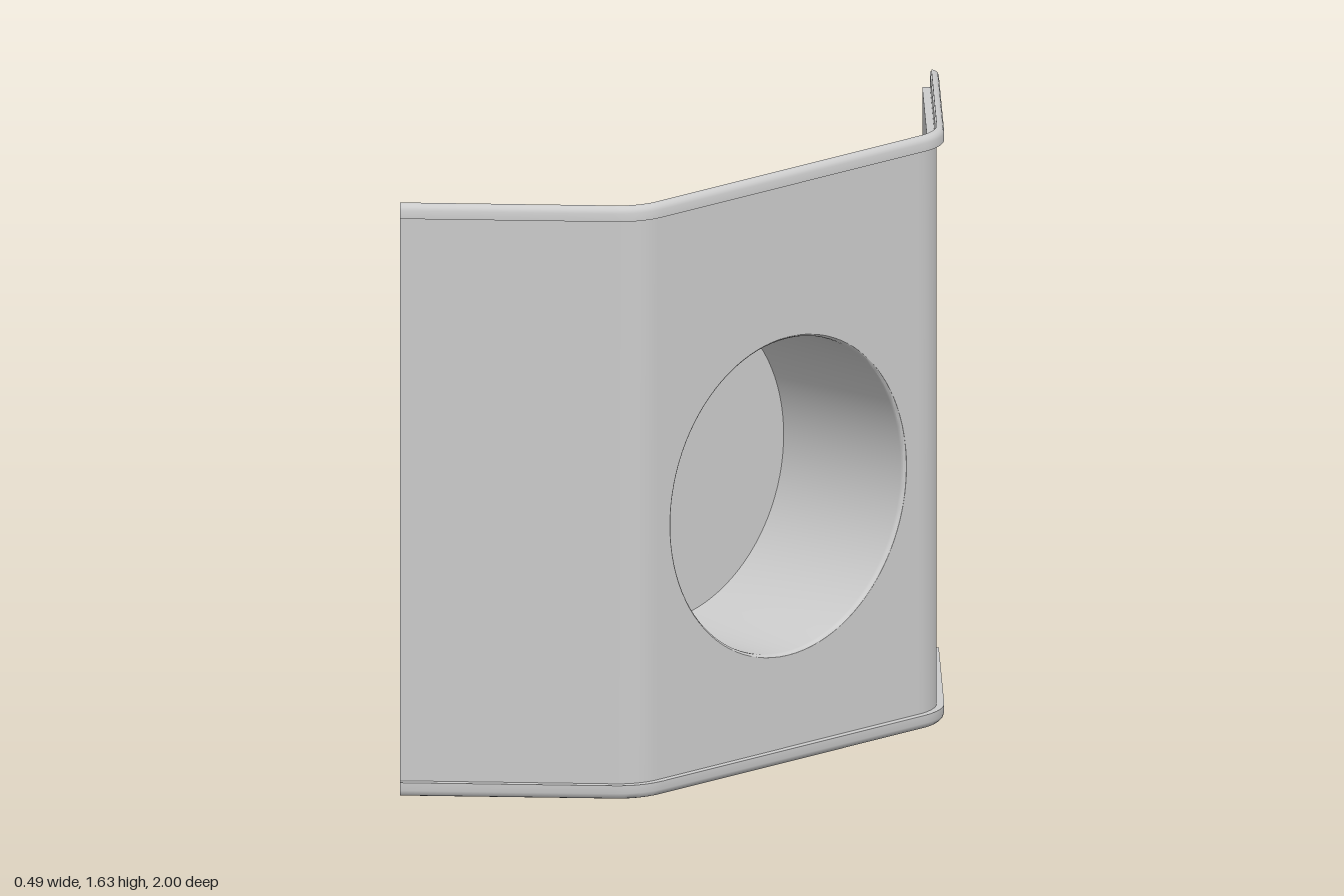
import * as THREE from 'three';
import { toCreasedNormals } from 'three/addons/utils/BufferGeometryUtils.js';

const HEIGHT = 1.635;
const FRONT = 0.24;        // outermost x of the rails
const BEND = 0.17;         // bend radius
const BEND_Z = 0.4875;     // where the flat centre ends
const ANGLE = THREE.MathUtils.degToRad(47.3);
const WING = 0.572;        // straight wing length
const HOLE_Y = 0.732;
const HOLE_R = 0.44;
const STEPS = 10;

// A station on one half of the outline: position plus outward direction
function station(angle, along, side) {
  const c = Math.cos(angle), s = Math.sin(angle);
  return {
    x: FRONT - BEND + BEND * c - along * s,
    z: side * (BEND_Z + BEND * s + along * c),
    nx: c, nz: side * s,
  };
}

function halfOutline(side) {
  const list = [];
  for (let i = 0; i <= STEPS; i++) list.push(station(ANGLE * i / STEPS, 0, side));
  list.push(station(ANGLE, WING, side));
  return list;
}

// Sweep a convex profile of [inward offset, y] along stations of rising z
function sweep(profile, stations) {
  const pos = [], idx = [], n = profile.length;
  for (const s of stations) {
    for (const [o, y] of profile) pos.push(s.x - s.nx * o, y, s.z - s.nz * o);
  }
  for (let i = 0; i < stations.length - 1; i++) {
    for (let j = 0; j < n; j++) {
      const k = (j + 1) % n;
      const a = i * n + j, d = i * n + k, b = a + n, e = d + n;
      idx.push(a, d, b, d, e, b);
    }
  }
  const last = (stations.length - 1) * n;
  for (let j = 1; j < n - 1; j++) {
    idx.push(0, j + 1, j, last, last + j, last + j + 1);
  }
  const geo = new THREE.BufferGeometry();
  geo.setAttribute('position', new THREE.Float32BufferAttribute(pos, 3));
  geo.setIndex(idx);
  return toCreasedNormals(geo, 0.6);
}

const slab = (o0, o1, y0, y1) => [[o0, y0], [o0, y1], [o1, y1], [o1, y0]];

// Flat centre sheet with the round opening, between two x positions
function holedSheet(halfWidth, y0, y1, x0, x1) {
  const shape = new THREE.Shape();
  shape.moveTo(-halfWidth, y0);
  shape.lineTo(halfWidth, y0);
  shape.lineTo(halfWidth, y1);
  shape.lineTo(-halfWidth, y1);
  shape.closePath();
  const hole = new THREE.Path();
  hole.absarc(0, HOLE_Y, HOLE_R - 0.001, 0, Math.PI * 2, true);
  shape.holes.push(hole);
  const geo = new THREE.ExtrudeGeometry(shape, { depth: x1 - x0, bevelEnabled: false, curveSegments: 48 });
  geo.rotateY(Math.PI / 2);
  geo.translate(x0, 0, 0);
  return toCreasedNormals(geo, 0.6);
}

export function createModel() {
  const group = new THREE.Group();
  const material = new THREE.MeshStandardMaterial({ color: 0xcccccc });
  const add = (name, geo) => {
    const mesh = new THREE.Mesh(geo, material);
    mesh.name = name;
    group.add(mesh);
  };

  const positive = halfOutline(1);
  const negative = halfOutline(-1).reverse();

  // Rounded edge rails along the top and bottom
  const rail = [[0, 0], [0, 0.022], [0.003, 0.031], [0.009, 0.037], [0.018, 0.04], [0.02, 0.04], [0.02, 0]];
  const topRail = rail.map(([o, y]) => [o, y + HEIGHT - 0.04]);
  const bottomRail = rail.map(([o, y]) => [o, 0.04 - y]).reverse();
  const outline = [...negative, ...positive];
  add('topRail', sweep(topRail, outline));
  add('bottomRail', sweep(bottomRail, outline));

  // Thin skin: bent wings and flat centre
  const skin = slab(0.02, 0.024, 0.005, HEIGHT - 0.005);
  add('leftWingSkin', sweep(skin, positive));
  add('rightWingSkin', sweep(skin, negative));
  add('centreSkin', holedSheet(BEND_Z, 0.005, HEIGHT - 0.005, FRONT - 0.024, FRONT - 0.02));

  // Raised backing plates behind the skin
  add('centreBacking', holedSheet(0.475, 0.04, HEIGHT - 0.04, 0.195, FRONT - 0.022));
  const backing = slab(0.022, 0.045, 0.04, HEIGHT - 0.04);
  for (const side of [1, -1]) {
    const ends = [station(ANGLE, 0.016, side), station(ANGLE, WING - 0.03, side)];
    if (side < 0) ends.reverse();
    add(side > 0 ? 'leftWingBacking' : 'rightWingBacking', sweep(backing, ends));
  }

  // Round cup behind the opening, with a softened lip
  const cup = [
    [0, -0.249], [0.437, -0.249], [0.437, 0.2], [HOLE_R, 0.22],
    [0.436, 0.218], [0.433, 0.213], [0.432, 0.205], [0.432, -0.243], [0, -0.243],
  ].map(([r, y]) => new THREE.Vector2(r, y));
  const cupGeo = new THREE.LatheGeometry(cup, 96);
  cupGeo.rotateZ(-Math.PI / 2);
  cupGeo.translate(0, HOLE_Y, 0);
  add('cup', toCreasedNormals(cupGeo, 0.6));

  return group;
}
